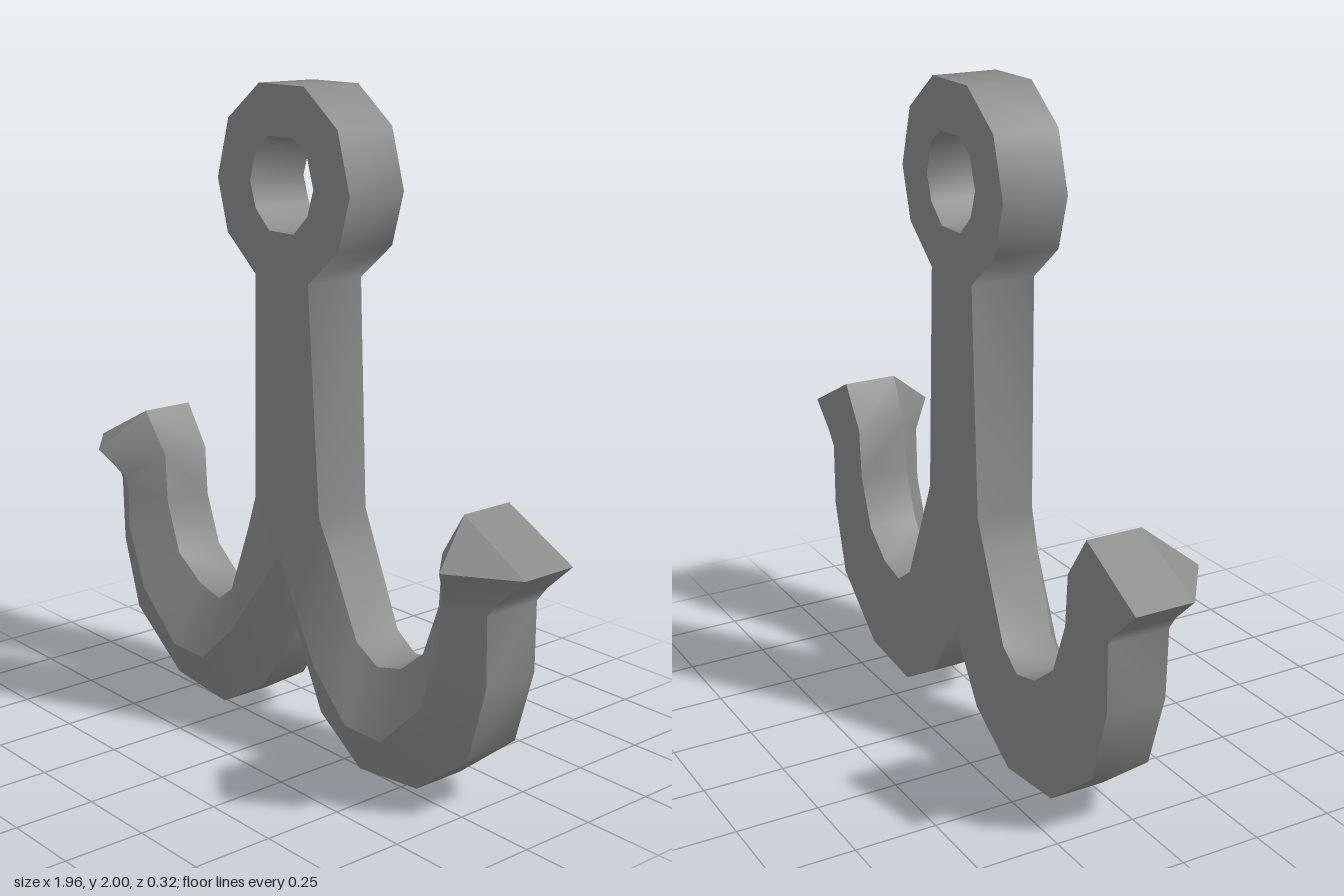
import * as THREE from 'three';
import { mergeGeometries, mergeVertices } from 'three/addons/utils/BufferGeometryUtils.js';

const BACK = -0.165;

// Ring from top to bottom: outer rim (x, y) and hole rim (x, y)
const RING = [
  [[0, 2], [0, 1.852]],
  [[0.1, 2], [0.055, 1.852]],
  [[0.245, 1.89], [0.113, 1.81]],
  [[0.298, 1.71], [0.143, 1.715]],
  [[0.252, 1.55], [0.117, 1.635]],
  [[0.12, 1.44], [0.055, 1.577]],
  [[0.12, 1.44], [0, 1.577]],
].map(([rim, hole]) => [[...rim, 0.04], [...hole, 0.04], [...hole, 0.04]]);

// Shank foot to fluke tip: inner edge, ridge, outer edge (x, y, z each)
const ARM = [
  [[0.15, 0.74, 0.02], [0, 0.59, 0.05], [0, 0.355, -0.03]],
  [[0.2, 0.623, 0.01], [0.09, 0.46, 0.065], [0.045, 0.26, -0.015]],
  [[0.3, 0.39, 0], [0.2, 0.3, 0.08], [0.14, 0.115, 0]],
  [[0.38, 0.335, -0.01], [0.345, 0.165, 0.085], [0.33, 0, 0.01]],
  [[0.48, 0.36, -0.01], [0.5, 0.165, 0.085], [0.575, 0.025, 0.01]],
  [[0.58, 0.44, 0], [0.66, 0.32, 0.09], [0.79, 0.2, 0.02]],
  [[0.64, 0.6, 0], [0.735, 0.515, 0.09], [0.855, 0.43, 0.025]],
  [[0.65, 0.76, 0], [0.737, 0.645, 0.09], [0.855, 0.64, 0.03]],
  [[0.65, 0.76, 0], [0.75, 0.685, 0.095], [0.89, 0.685, 0.025]],
  [[0.74, 0.895, 0.01], [0.8, 0.775, 0.16], [0.98, 0.77, 0.02]],
];

// Smooth surface from triangles, mirrored for side -1; empty triangles are dropped
function smoothSurface(triangles, side) {
  const pos = [];
  for (const [a, b, c] of triangles) {
    const [A, B, C] = [a, b, c].map((p) => new THREE.Vector3(p[0] * side, p[1], p[2]));
    if (new THREE.Triangle(A, B, C).getArea() < 1e-7) continue;
    for (const p of side > 0 ? [A, B, C] : [A, C, B]) pos.push(p.x, p.y, p.z);
  }
  const g = new THREE.BufferGeometry();
  g.setAttribute('position', new THREE.Float32BufferAttribute(pos, 3));
  const merged = mergeVertices(g);
  merged.computeVertexNormals();
  return merged;
}

// Half of a part: five strips along the stations, smooth lengthwise with hard edges between
function halfGeometry(stations, side, openSegment) {
  const loops = stations.map(([i, m, o]) =>
    [i, m, o, [o[0], o[1], BACK], [i[0], i[1], BACK]]);
  const surfaces = [];
  for (let j = 0; j < 5; j++) {
    const k = (j + 1) % 5;
    const triangles = [];
    for (let s = 0; s < loops.length - 1; s++) {
      if (s === openSegment && (j === 1 || j === 2)) continue; // open on the centre line
      const a = loops[s], b = loops[s + 1];
      triangles.push([a[j], a[k], b[k]], [a[j], b[k], b[j]]);
    }
    surfaces.push(smoothSurface(triangles, side));
  }
  // Pointed fluke end: spike facet and flat end face
  const e = loops[loops.length - 1];
  surfaces.push(smoothSurface([[e[0], e[1], e[2]]], side));
  surfaces.push(smoothSurface([[e[0], e[2], e[3]], [e[0], e[3], e[4]]], side));
  return mergeGeometries(surfaces);
}

export function createModel() {
  const group = new THREE.Group();
  group.name = 'anchor';
  const iron = new THREE.MeshStandardMaterial({ color: 0x8a8a8a });
  iron.name = 'grey iron';

  // Ring, shank and arm run on as one piece in each half
  for (const [name, side] of [['leftHalf', 1], ['rightHalf', -1]]) {
    const mesh = new THREE.Mesh(halfGeometry([...RING, ...ARM], side, RING.length - 1), iron);
    mesh.name = name;
    group.add(mesh);
  }
  return group;
}
